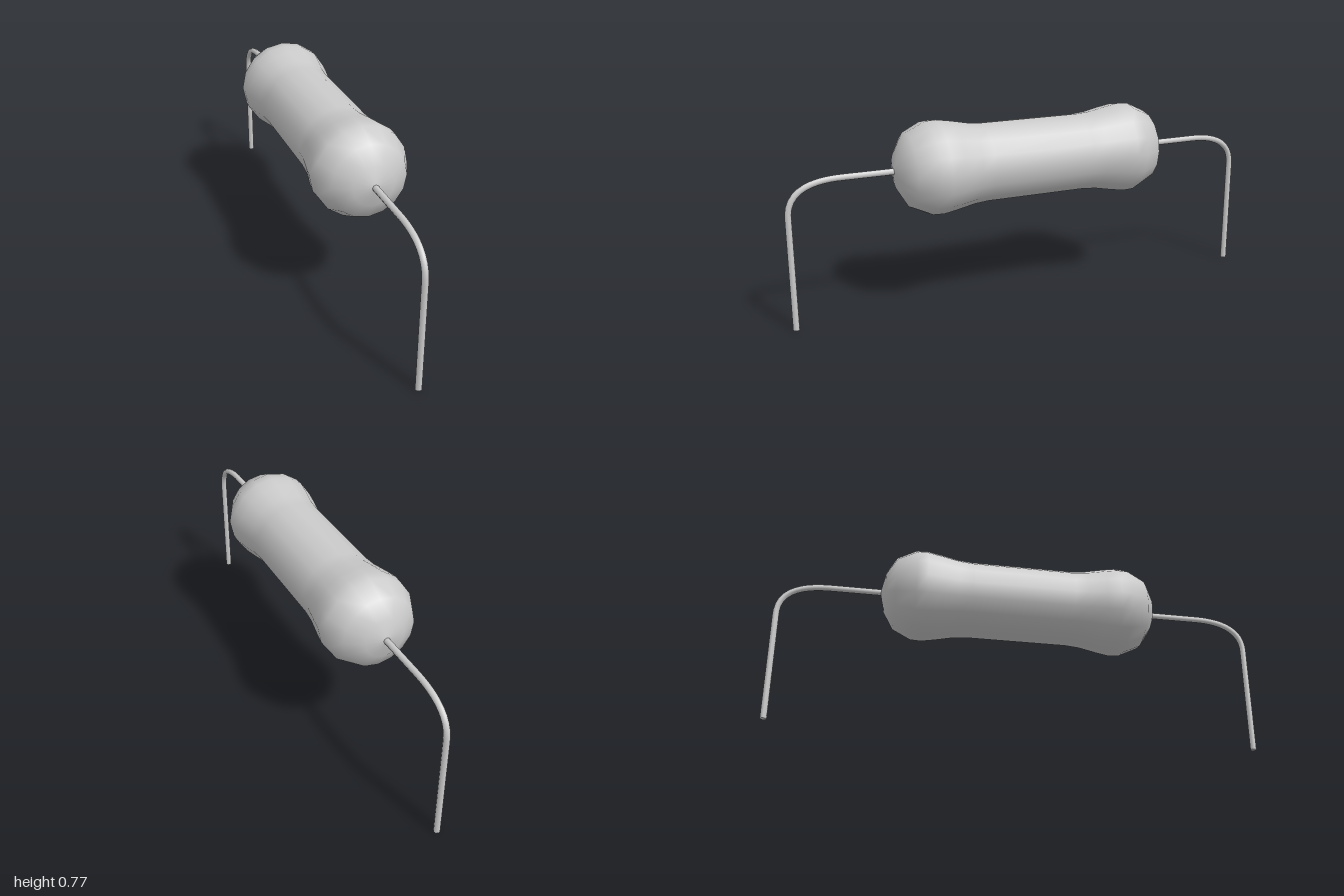
import * as THREE from 'three';

const AXIS_Y = 0.583;   // height of the body axis
const LEG_Z = 0.987;    // distance of each leg from the centre
const WIRE_R = 0.013;

export function createModel() {
  const model = new THREE.Group();
  model.name = 'resistor';
  const material = new THREE.MeshStandardMaterial({ color: 0xcccccc });

  // Body: half profile (radius, distance from centre), mirrored and turned onto z
  const half = [
    [0.158, 0.21], [0.163, 0.27], [0.178, 0.345], [0.187, 0.40],
    [0.185, 0.445], [0.148, 0.522], [0.08, 0.563], [0, 0.58],
  ];
  const profile = [
    ...half.map(([r, d]) => new THREE.Vector2(r, -d)).reverse(),
    ...half.map(([r, d]) => new THREE.Vector2(r, d)),
  ];
  const body = new THREE.Mesh(new THREE.LatheGeometry(profile, 16).rotateX(Math.PI / 2), material);
  body.name = 'body';
  body.position.y = AXIS_Y;
  model.add(body);

  // Wire leads: straight out of the body, round the bend, down to the ground
  for (const [name, side] of [['frontLead', 1], ['backLead', -1]]) {
    const p = (y, z) => new THREE.Vector3(0, y, z * side);
    const path = new THREE.CurvePath();
    path.add(new THREE.LineCurve3(p(AXIS_Y, 0.53), p(AXIS_Y, 0.78)));
    path.add(new THREE.QuadraticBezierCurve3(p(AXIS_Y, 0.78), p(AXIS_Y, LEG_Z), p(0.45, LEG_Z)));
    path.add(new THREE.LineCurve3(p(0.45, LEG_Z), p(0, LEG_Z)));

    const lead = new THREE.Group();
    lead.name = name;
    const wire = new THREE.Mesh(new THREE.TubeGeometry(path, 40, WIRE_R, 8), material);
    wire.name = 'wire';

    // Cut end of the wire
    const tip = new THREE.Mesh(new THREE.CircleGeometry(WIRE_R, 8).rotateX(Math.PI / 2), material);
    tip.name = 'wireEnd';
    tip.position.z = LEG_Z * side;
    lead.add(wire, tip);
    model.add(lead);
  }
  return model;
}
